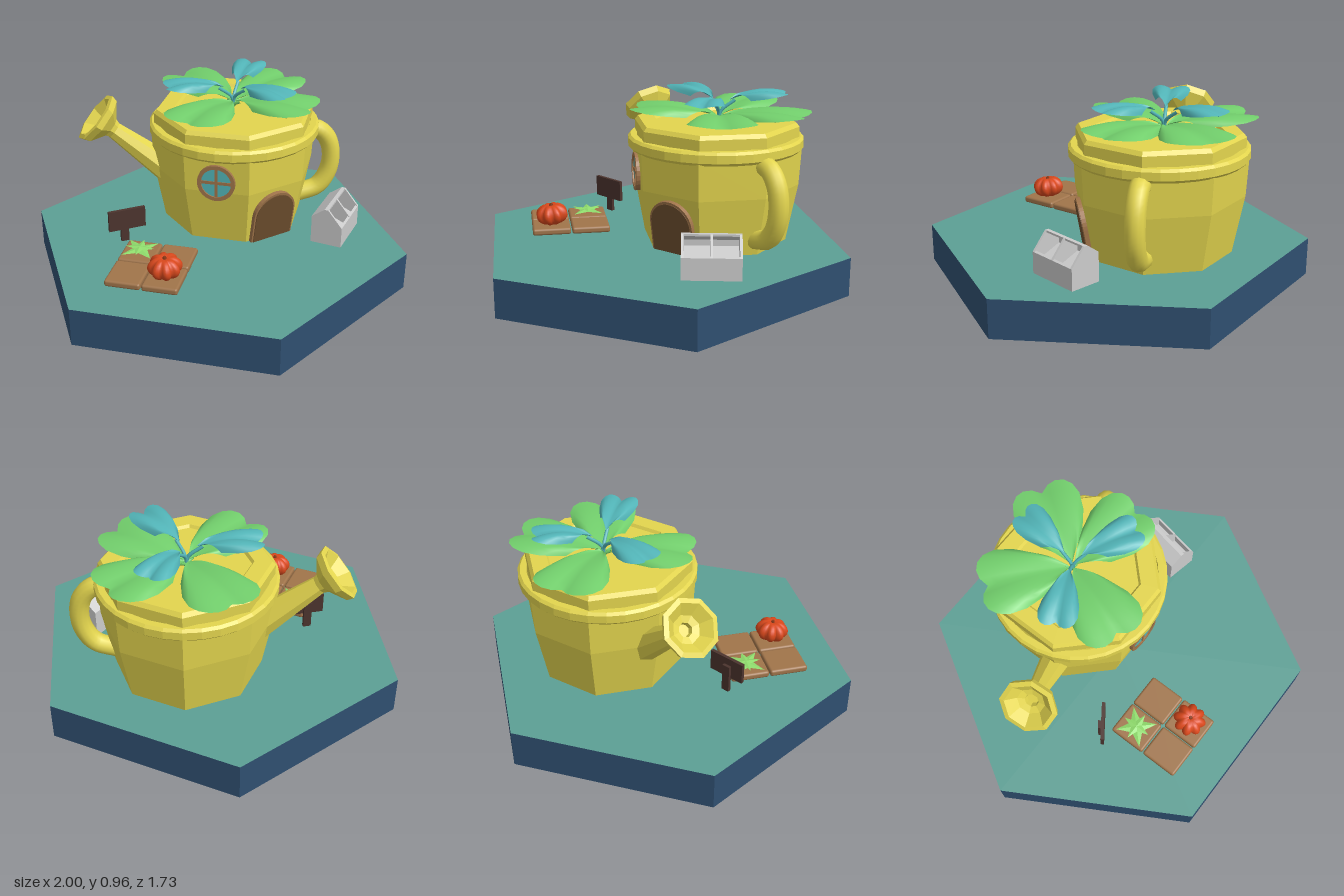
import * as THREE from 'three';
import { RoundedBoxGeometry } from 'three/addons/geometries/RoundedBoxGeometry.js';

const mat = (color, flatShading = false, side = THREE.FrontSide) =>
  new THREE.MeshStandardMaterial({ color, flatShading, side });
const V2 = (list) => list.map(([x, y]) => new THREE.Vector2(x, y));
const V3 = (x, y, z) => new THREE.Vector3(x, y, z);

const YELLOW = 0xe3d54e, WOOD = 0xa0744a, DARK_WOOD = 0x4c342e;
const GREEN = 0x72cf6c, TEAL = 0x52b5b8;
const POT = V3(0.03, 0, -0.28); // axis of the watering can

function add(parent, name, geometry, material, x = 0, y = 0, z = 0) {
  const mesh = new THREE.Mesh(geometry, material);
  mesh.name = name;
  mesh.position.set(x, y, z);
  parent.add(mesh);
  return mesh;
}

function subgroup(parent, name, x = 0, y = 0, z = 0, turn = 0) {
  const g = new THREE.Group();
  g.name = name;
  g.position.set(x, y, z);
  g.rotation.y = turn;
  parent.add(g);
  return g;
}

function extrude(points, depth) {
  return new THREE.ExtrudeGeometry(new THREE.Shape(V2(points)), { depth, bevelEnabled: false });
}

// Arched outline standing on y = 0
function archGeometry(halfWidth, height, depth) {
  const s = new THREE.Shape();
  s.moveTo(-halfWidth, 0);
  s.lineTo(halfWidth, 0);
  s.lineTo(halfWidth, height - halfWidth);
  s.absarc(0, height - halfWidth, halfWidth, 0, Math.PI, false);
  return new THREE.ExtrudeGeometry(s, { depth, bevelEnabled: false, curveSegments: 10 });
}

// Heart-shaped leaf along +x: polar grid from the stem, arched and folded at the midrib
function leafGeometry(length, spread, arch) {
  const edge = [0.9, 0.97, 1, 0.99, 0.94, 0.84, 0.66, 0.4];
  const n = edge.length - 1, rows = 8, pos = [], index = [];
  for (let i = -n; i <= n; i++) {
    const f = Math.abs(i) / n, a = (i / n) * spread;
    for (let j = 0; j <= rows; j++) {
      const t = j / rows, r = t * edge[Math.abs(i)] * length;
      const y = arch * Math.sin(t * Math.PI * 0.85) + 0.025 * t * Math.sin(f * Math.PI) - 0.015 * t * f;
      pos.push(r * Math.cos(a), y, -r * Math.sin(a));
      if (i < n && j < rows) {
        const k = (i + n) * (rows + 1) + j, m = k + rows + 1;
        index.push(k, k + 1, m + 1, k, m + 1, m);
      }
    }
  }
  const g = new THREE.BufferGeometry();
  g.setAttribute('position', new THREE.Float32BufferAttribute(pos, 3));
  g.setIndex(index);
  g.computeVertexNormals();
  return g;
}

function addCan(root) {
  const can = subgroup(root, 'wateringCan', POT.x, 0, POT.z);
  const yellow = mat(YELLOW, true, THREE.DoubleSide);
  const k = 1 / Math.cos(Math.PI / 8); // apothem to corner radius

  // Octagonal body with rim and inner floor
  const profile = [[0, 0.2], [0.348, 0.2], [0.4, 0.5], [0.41, 0.7], [0.395, 0.74],
    [0.395, 0.8], [0.38, 0.82], [0.3, 0.82], [0.29, 0.805], [0, 0.805]];
  add(can, 'canBody', new THREE.LatheGeometry(V2(profile.map(([r, y]) => [r * k, y])), 8, Math.PI / 8), yellow);

  // Round band below the rim
  const band = [[0.4, 0.68], [0.435, 0.68], [0.45, 0.695], [0.45, 0.735], [0.437, 0.748], [0.405, 0.748], [0.4, 0.68]];
  add(can, 'rimBand', new THREE.LatheGeometry(V2(band), 32), yellow);

  // Spout with flared, hollow head
  const from = V3(-0.2, 0.37, -0.2).sub(POT), to = V3(-0.655, 0.785, -0.03).sub(POT);
  const spoutProfile = [[0.095, 0], [0.046, 0.52], [0.055, 0.545], [0.135, 0.605], [0.145, 0.64],
    [0.12, 0.645], [0.07, 0.595], [0.035, 0.585], [0.03, 0.56], [0, 0.56]];
  const spout = add(can, 'spout', new THREE.LatheGeometry(V2(spoutProfile), 8, Math.PI / 8), yellow);
  spout.position.copy(from);
  spout.quaternion.setFromUnitVectors(V3(0, 1, 0), to.sub(from).normalize());

  // Handle opposite the spout
  const path = [[0.36, 0.665], [0.46, 0.655], [0.52, 0.59], [0.542, 0.49], [0.525, 0.39], [0.47, 0.31], [0.36, 0.275]];
  const curve = new THREE.CatmullRomCurve3(path.map(([s, y]) => V3(s, y, 0)));
  add(can, 'handle', new THREE.TubeGeometry(curve, 24, 0.05, 12), mat(YELLOW)).rotation.y = 0.38;

  // Round window with cross bars
  const win = subgroup(can, 'window', 0, 0.56, 0.405);
  const frame = mat(WOOD);
  const glass = add(win, 'windowGlass', new THREE.CylinderGeometry(0.085, 0.085, 0.02, 24), mat(TEAL));
  glass.rotation.x = Math.PI / 2;
  const ring = V2([[0.078, -0.015], [0.098, -0.015], [0.098, 0.018], [0.078, 0.018], [0.078, -0.015]]);
  add(win, 'windowFrame', new THREE.LatheGeometry(ring, 24), mat(WOOD, true)).rotation.x = Math.PI / 2;
  add(win, 'windowBar', new THREE.BoxGeometry(0.16, 0.016, 0.028), frame);
  add(win, 'windowBar', new THREE.BoxGeometry(0.016, 0.16, 0.028), frame);

  // Arched door on the front left face, leaning with the wall
  const door = subgroup(can, 'door', 0, 0.2, 0, Math.PI / 4);
  add(door, 'doorFrame', archGeometry(0.125, 0.285, 0.035), frame, 0, 0, 0.335).rotation.x = 0.17;
  add(door, 'doorPanel', archGeometry(0.115, 0.273, 0.039), mat(0x70502f), 0, 0, 0.335).rotation.x = 0.17;
}

function addPlant(root) {
  const plant = subgroup(root, 'plant', 0.02, 0, -0.3);
  const layers = [
    { name: 'lowerLeaf', color: GREEN, y: 0.835, arch: 0.035, spread: 0.66, start: 0.01, leaves: [[143, 0.46], [60, 0.46], [-10, 0.45], [249, 0.45]] },
    { name: 'upperLeaf', color: TEAL, y: 0.915, arch: 0.038, spread: 0.52, start: 0.05, leaves: [[84, 0.3], [206, 0.32], [-27, 0.32]] },
  ];
  for (const { name, color, y, arch, spread, start, leaves } of layers) {
    for (const [deg, length] of leaves) {
      const leaf = subgroup(plant, name, 0, 0, 0, THREE.MathUtils.degToRad(deg));
      add(leaf, 'leafBlade', leafGeometry(length, spread, arch), mat(color, false, THREE.DoubleSide), start, y, 0);
      const stem = new THREE.CatmullRomCurve3([V3(0, 0.8, 0), V3(0.008, (y + 0.8) / 2, 0), V3(start + 0.03, y, 0)]);
      add(leaf, 'stem', new THREE.TubeGeometry(stem, 8, 0.009, 6), mat(color));
    }
  }
}

function addGarden(root) {
  const garden = subgroup(root, 'garden');
  // Four soil tiles
  for (const x of [-0.308, -0.122])
    for (const z of [0.362, 0.567])
      add(garden, 'soilTile', new RoundedBoxGeometry(0.18, 0.035, 0.198, 2, 0.012), mat(WOOD), x, 0.2325, z);

  // Pumpkin: sphere pinched into eight ribs
  const pumpkin = new THREE.SphereGeometry(1, 48, 16);
  const p = pumpkin.attributes.position;
  for (let i = 0; i < p.count; i++) {
    const x = p.getX(i), y = p.getY(i), z = p.getZ(i), flat = Math.hypot(x, z);
    const r = 0.066 + 0.02 * Math.abs(Math.sin(4 * Math.atan2(z, x)));
    p.setXYZ(i, x * r, 0.058 * y * (0.75 + 0.25 * Math.min(1, flat * 2)), z * r);
  }
  pumpkin.computeVertexNormals();
  add(garden, 'pumpkin', pumpkin, mat(0xd9481c), -0.12, 0.306, 0.562).rotation.x = 0.1;
  add(garden, 'pumpkinStem', new THREE.CylinderGeometry(0.008, 0.012, 0.02, 6), mat(0x8a3a18), -0.12, 0.353, 0.565);

  // Sprout: two tiers of pointed folded leaves
  const sprout = subgroup(garden, 'sprout', -0.31, 0.255, 0.36);
  const blade = new THREE.ConeGeometry(0.036, 0.105, 4).rotateZ(-Math.PI / 2).scale(1, 0.25, 1).translate(0.05, 0, 0);
  for (let i = 0; i < 8; i++) {
    const leaf = add(sprout, 'sproutLeaf', blade, mat(0x8fdc6c, true), 0, i % 2 ? 0.004 : 0.014, 0);
    leaf.rotation.y = (i * Math.PI) / 4;
    leaf.scale.setScalar(i % 2 ? 1.05 : 0.75);
  }

  // Signpost
  const sign = subgroup(root, 'sign', -0.42, 0, 0.225, 0.62);
  add(sign, 'signBoard', new THREE.BoxGeometry(0.195, 0.11, 0.018), mat(DARK_WOOD), 0, 0.347, 0);
  add(sign, 'signPost', new THREE.BoxGeometry(0.042, 0.15, 0.018), mat(DARK_WOOD), -0.01, 0.29, -0.016);
}

// Two-compartment bin with an open sloping front
function addBin(root) {
  const bin = subgroup(root, 'storageBin', 0.61, 0.2, -0.142, -0.2);
  const grey = mat(0xcccccc);
  const half = 0.142, t = 0.012;
  const side = [[-0.082, 0], [0.082, 0], [0.082, 0.11], [0.005, 0.2], [-0.015, 0.2], [-0.082, 0.15]];
  for (const z of [-half, -t / 2, half - t]) add(bin, 'binSide', extrude(side, t), grey, 0, 0, z);
  // Panels that run the whole length, as cross-sections
  const panels = {
    binBack: [[-0.082, 0], [-0.07, 0], [-0.07, 0.155], [-0.082, 0.15]],
    binLid: [[-0.082, 0.14], [-0.01, 0.19], [0.005, 0.19], [0.005, 0.2], [-0.015, 0.2], [-0.082, 0.15]],
    binFront: [[0.07, 0], [0.082, 0], [0.082, 0.11], [0.07, 0.115]],
    binFloor: [[-0.075, 0], [0.075, 0], [0.075, 0.06], [-0.075, 0.12]],
  };
  for (const [name, outline] of Object.entries(panels))
    add(bin, name, extrude(outline, 2 * half - 0.004), grey, 0, 0, -half + 0.002);
}

export function createModel() {
  const root = new THREE.Group();
  root.name = 'wateringCanHouse';
  // Hexagonal ground slab
  const slab = new THREE.CylinderGeometry(1, 1, 0.2, 6, 1, false, Math.PI / 6);
  add(root, 'groundSlab', slab, [mat(0x2f4f70, true), mat(0x5c9f94, true), mat(0x2f4f70, true)], 0, 0.1, 0);
  addCan(root);
  addPlant(root);
  addGarden(root);
  addBin(root);
  return root;
}
